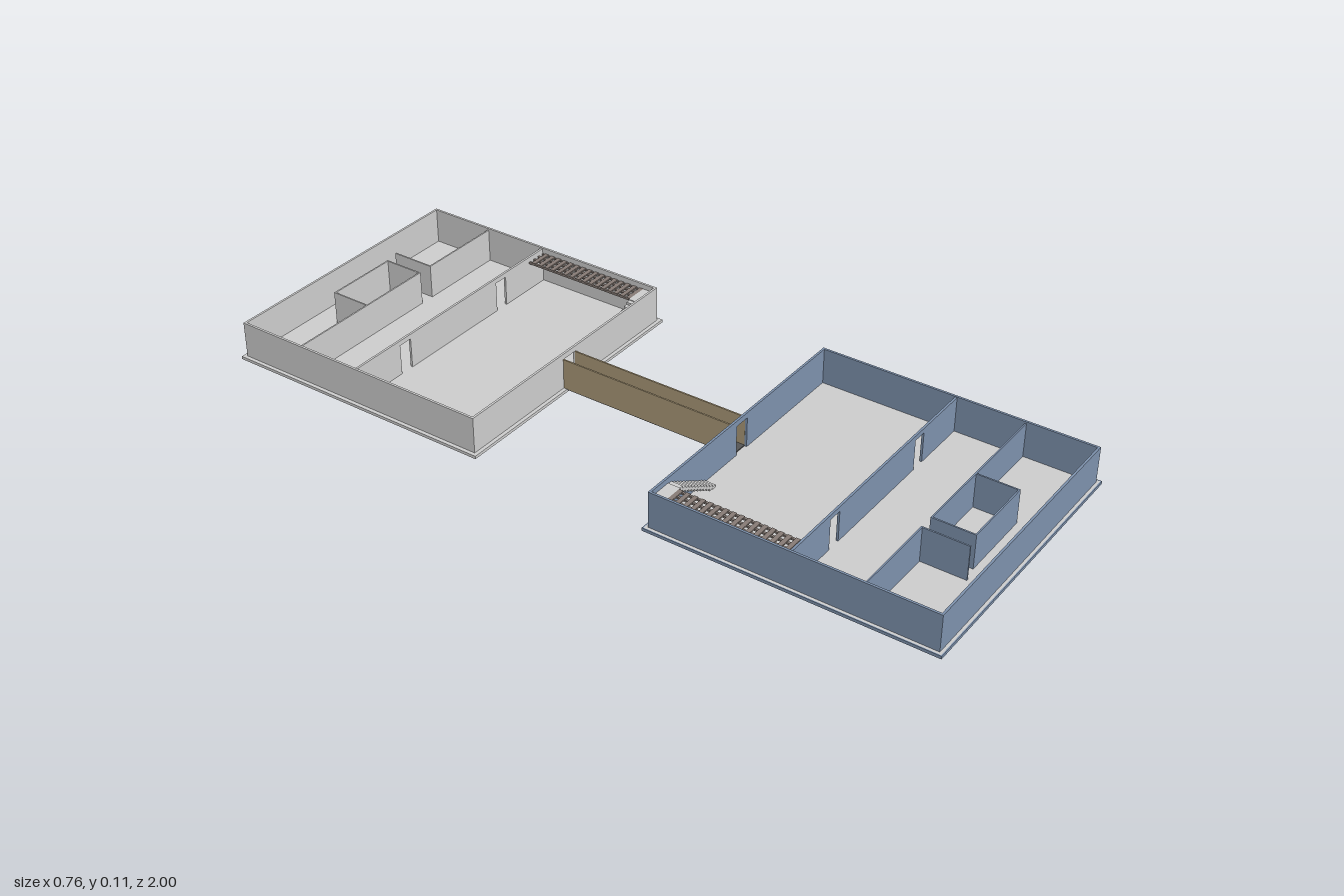
import * as THREE from 'three';

const FLOOR = 0.008, TOP = 0.105, DOOR = 0.09;
const paint = (color) => new THREE.MeshStandardMaterial({ color, flatShading: true });
const grey = paint(0xcccccc), blue = paint(0x7c90ab), tan = paint(0xa99877);
const dark = paint(0x555555), brown = paint(0x857a74);

// Box given by its minimum and maximum corners
function block(parent, name, mat, [x0, y0, z0], [x1, y1, z1]) {
  const mesh = new THREE.Mesh(new THREE.BoxGeometry(x1 - x0, y1 - y0, z1 - z0), mat);
  mesh.position.set((x0 + x1) / 2, (y0 + y1) / 2, (z0 + z1) / 2);
  mesh.name = name;
  parent.add(mesh);
  return mesh;
}

// Straight wall along x or z, centred on "at", with door openings [from, to] under lintels
function wall(parent, name, mat, axis, at, from, to, top = TOP, doors = [], t = 0.006) {
  const group = new THREE.Group();
  group.name = name;
  const piece = (part, a, b, y0) => {
    if (axis === 'x') block(group, part, mat, [a, y0, at - t / 2], [b, top, at + t / 2]);
    else block(group, part, mat, [at - t / 2, y0, a], [at + t / 2, top, b]);
  };
  let start = from;
  for (const [a, b] of doors) {
    piece('wallPanel', start, a, FLOOR);
    piece('lintel', a, b, DOOR);
    start = b;
  }
  piece('wallPanel', start, to, FLOOR);
  parent.add(group);
}

// Overhead walkway on the side wall, with a landing and a flight of steps
function stairway() {
  const group = new THREE.Group();
  group.name = 'stairway';
  const x0 = -0.367, x1 = -0.305, z0 = 0.289, z1 = 0.617, y = 0.089;
  for (let i = 0; i < 4; i++) {
    const x = x0 + (i * (x1 - x0 - 0.006)) / 3;
    block(group, 'walkwayBeam', brown, [x, y - 0.005, z0], [x + 0.006, y, z1]);
  }
  const rungs = 16, pitch = (z1 - z0) / rungs;
  for (let i = 0; i < rungs; i++) {
    const z = z0 + i * pitch;
    block(group, 'walkwayTread', brown, [x0, y - 0.002, z], [x1, y + 0.002, z + pitch * 0.55]);
  }
  block(group, 'landing', grey, [x0, y - 0.004, 0.253], [x1 + 0.005, y + 0.002, z0]);
  const steps = 12, run = 0.145 / steps, rise = (y - FLOOR) / steps;
  for (let i = 0; i < steps; i++) {
    const x = x1 + 0.005 + i * run, h = y - i * rise;
    block(group, 'step', grey, [x, Math.max(FLOOR, h - rise * 1.6), 0.253], [x + run, h, 0.287]);
  }
  return group;
}

function building(mat) {
  const group = new THREE.Group();
  // Floor slab with a coloured edge
  block(group, 'floorSlab', grey, [-0.377, 0, 0.243], [0.377, FLOOR, 0.997]);
  for (const s of [-1, 1]) {
    block(group, 'slabEdge', mat, [s * 0.3785 - 0.0015, 0, 0.24], [s * 0.3785 + 0.0015, FLOOR, 1]);
    const z = 0.62 + s * 0.3785;
    block(group, 'slabEdge', mat, [-0.377, 0, z - 0.0015], [0.377, FLOOR, z + 0.0015]);
  }
  // Outer walls
  for (const s of [-1, 1]) wall(group, 'sideWall', mat, 'z', s * 0.367, 0.25, 0.99);
  wall(group, 'outerWall', mat, 'x', 0.987, -0.364, 0.364);
  wall(group, 'bridgeSideWall', mat, 'x', 0.253, -0.364, 0.364, TOP, [[-0.022, 0.022]]);
  // Hall divider with two doorways
  wall(group, 'hallDivider', mat, 'x', 0.62, -0.364, 0.364, 0.103, [[-0.207, -0.168], [0.168, 0.207]]);
  // Rear rooms: partition, small closet and screen wall
  const p = 0.004, h = 0.1;
  wall(group, 'partition', mat, 'x', 0.803, -0.364, -0.123, h, [], p);
  wall(group, 'partition', mat, 'x', 0.803, -0.084, 0.364, h, [], p);
  wall(group, 'screenWall', mat, 'z', -0.125, 0.805, 0.922, h, [], p);
  wall(group, 'closetSide', mat, 'z', -0.082, 0.805, 0.91, h, [], p);
  wall(group, 'closetSide', mat, 'z', 0.12, 0.805, 0.91, h, [], p);
  wall(group, 'closetFront', mat, 'x', 0.912, -0.084, 0.122, h, [], p);
  group.add(stairway());
  return group;
}

export function createModel() {
  const model = new THREE.Group();
  // Two matching buildings facing each other
  const front = building(blue);
  front.name = 'frontBuilding';
  const back = building(grey);
  back.name = 'backBuilding';
  back.rotation.y = Math.PI;
  model.add(front, back);
  // Open bridge between them
  const bridge = new THREE.Group();
  bridge.name = 'bridge';
  block(bridge, 'bridgeFloor', dark, [-0.025, 0.006, -0.25], [0.025, 0.011, 0.25]);
  for (const s of [-1, 1]) {
    block(bridge, 'bridgeWall', tan, [s * 0.0235 - 0.002, 0.008, -0.25], [s * 0.0235 + 0.002, 0.09, 0.25]);
  }
  model.add(bridge);
  return model;
}
